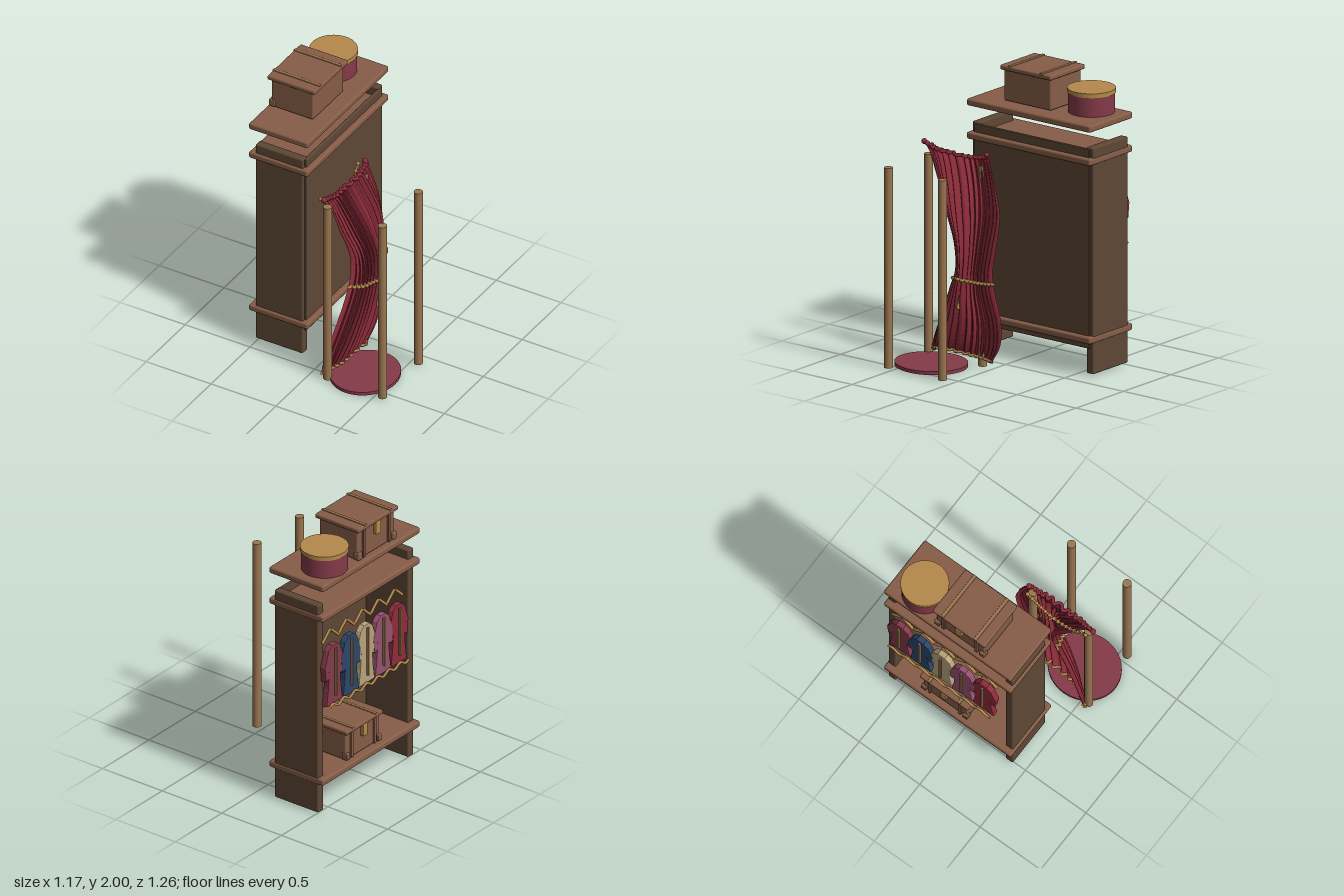
import * as THREE from 'three';
import { RoundedBoxGeometry } from 'three/addons/geometries/RoundedBoxGeometry.js';

const mat = (name, color) => {
  const m = new THREE.MeshStandardMaterial({ color });
  m.name = name;
  return m;
};

export function createModel() {
  const root = new THREE.Group();
  root.name = 'wardrobeAndCurtain';
  const M = {
    wood: mat('wood', 0x865d47),
    dark: mat('darkWood', 0x5e4735),
    pole: mat('poleWood', 0x9b7751),
    gold: mat('gold', 0xb4894c),
    red: mat('curtainRed', 0x8e2c3a),
    plum: mat('plum', 0x843a48),
    navy: mat('navy', 0x2c4668),
    cream: mat('cream', 0xb8a47c),
    pink: mat('pink', 0x96506e),
  };
  M.red.side = THREE.DoubleSide;

  const add = (parent, name, geo, material, x = 0, y = 0, z = 0) => {
    const mesh = new THREE.Mesh(geo, material);
    mesh.name = name;
    mesh.position.set(x, y, z);
    parent.add(mesh);
    return mesh;
  };
  const group = (name, parent = root) => {
    const g = new THREE.Group();
    g.name = name;
    parent.add(g);
    return g;
  };
  // Rounded board given by its min and max on each axis
  const board = (parent, name, material, [x0, x1], [y0, y1], [z0, z1], r = 0.01) =>
    add(parent, name, new RoundedBoxGeometry(x1 - x0, y1 - y0, z1 - z0, 2, r), material,
      (x0 + x1) / 2, (y0 + y1) / 2, (z0 + z1) / 2);
  const tube = (parent, name, pts, r, material, n = 60) =>
    add(parent, name, new THREE.TubeGeometry(new THREE.CatmullRomCurve3(pts), n, r, 6), material);
  const V = (x, y, z) => new THREE.Vector3(x, y, z);

  // Wardrobe frame, open towards -x
  const frame = group('wardrobe');
  for (const [z0, z1] of [[0.345, 0.405], [-0.625, -0.565]])
    board(frame, 'endPanel', M.dark, [-0.515, -0.15], [0.015, 1.575], [z0, z1]);
  board(frame, 'backPanel', M.dark, [-0.162, -0.138], [0.19, 1.565], [-0.6, 0.38], 0.005);
  for (const y of [0.23, 1.46, 1.69])
    board(frame, 'shelf', M.wood, [-0.56, -0.105], [y, y + 0.048], [-0.63, 0.42], 0.014);

  // Storage box with lid, straps, corner blocks and clasp
  const chest = (x, y, z, s) => {
    const g = group('storageBox');
    board(g, 'boxBody', M.wood, [-0.16, 0.16], [0.01, 0.23], [-0.198, 0.198]);
    board(g, 'boxLid', M.wood, [-0.183, 0.183], [0.225, 0.258], [-0.216, 0.216]);
    for (const side of [-1, 1]) {
      board(g, 'lidStrap', M.pole, [-0.184, 0.184], [0.25, 0.264], [side * 0.135 - 0.012, side * 0.135 + 0.012], 0.004);
      board(g, 'sideStrap', M.wood, [-0.175, -0.155], [0.015, 0.23], [side * 0.135 - 0.012, side * 0.135 + 0.012], 0.004);
      board(g, 'cornerBlock', M.wood, [-0.178, -0.13], [0.015, 0.065], [side * 0.185 - 0.022, side * 0.185 + 0.022], 0.006);
    }
    board(g, 'clasp', M.gold, [-0.19, -0.158], [0.14, 0.232], [-0.025, 0.025], 0.006);
    g.position.set(x, y, z);
    g.scale.setScalar(s);
  };
  chest(-0.366, 1.736, -0.018, 1);
  chest(-0.37, 0.277, -0.15, 0.92);

  // Round hat box
  const hat = group('hatBox');
  add(hat, 'hatBoxBody', new THREE.CylinderGeometry(0.156, 0.156, 0.14, 48), M.plum, -0.4, 1.805, -0.408);
  add(hat, 'hatBoxLid', new THREE.CylinderGeometry(0.162, 0.162, 0.03, 48), M.gold, -0.4, 1.887, -0.408);

  // Row of hanging garments with hangers and plackets
  const clothes = group('clothes');
  const half = [[0.025, 0.44], [0.06, 0.41], [0.098, 0.30], [0.09, 0.2], [0.066, 0.21], [0.06, 0.27], [0.062, 0.13], [0.08, 0.01]];
  const outline = [...half, ...half.map(([a, b]) => [-a, b]).reverse()].map(([a, b]) => new THREE.Vector2(a, b));
  const garmentGeo = new THREE.ExtrudeGeometry(new THREE.Shape(outline),
    { depth: 0.03, bevelSize: 0.006, bevelThickness: 0.007, bevelSegments: 2 });
  [M.plum, M.navy, M.cream, M.pink, M.red].forEach((m, i) => {
    const z = -0.5 + i * 0.173;
    const garment = add(clothes, 'garment', garmentGeo, m, -0.522 - (i % 2) * 0.003, 0.805, z);
    garment.rotation.y = -Math.PI / 2;
    board(clothes, 'placket', M.pole, [-0.578, -0.56], [0.87, 1.23], [z - 0.008, z + 0.008], 0.004);
    for (const s of [-1, 1])
      tube(clothes, 'hangerArm', [V(-0.52, 1.275, z + s * 0.086), V(-0.52, 1.355, z)], 0.011, M.gold, 2);
  });
  // Wavy cord along the hems
  const cord = [];
  for (let i = 0; i <= 40; i++) cord.push(V(-0.577, 0.81 + 0.014 * Math.sin(i * 1.1), -0.575 + i * 0.0212));
  tube(clothes, 'hemCord', cord, 0.01, M.gold, 120);

  // Four poles and the round floor mat
  for (const x of [0.13, 0.553])
    for (const z of [0.09, 0.55])
      add(root, 'pole', new THREE.CylinderGeometry(0.03, 0.03, 1.38, 24), M.pole, x, 0.7, z);
  add(root, 'floorMat', new THREE.CylinderGeometry(1, 1, 0.024, 64), M.plum, 0.316, 0.016, 0.377).scale.set(0.231, 1, 0.253);

  // Curtain: pleated U-shaped section, gathered at the waist
  const curtain = group('curtain');
  const rows = [ // y, zMax, zMin, base x, bulge depth
    [0.03, 0.54, 0.06, 0.08, 0.07], [0.15, 0.49, -0.01, 0.085, 0.12], [0.33, 0.4, -0.035, 0.11, 0.135],
    [0.55, 0.29, 0.01, 0.13, 0.14], [0.66, 0.245, 0.025, 0.13, 0.14], [0.84, 0.26, -0.005, 0.13, 0.135],
    [1.08, 0.375, -0.04, 0.13, 0.1], [1.28, 0.46, 0, 0.13, 0.05], [1.42, 0.53, 0.045, 0.125, 0.025],
    [1.47, 0.58, 0.055, 0.12, 0.02],
  ];
  const spline = new THREE.CubicInterpolant(rows.map(r => r[0]), rows.flatMap(r => r.slice(1)), 4, new Float32Array(4));
  const bend = a => Math.sign(a) * Math.pow(Math.abs(a), 0.78);
  const cloth = (u, y, off = 0) => {
    const [zMax, zMin, bx, d] = spline.evaluate(y);
    const t = (0.5 - u) * Math.PI;
    const c = Math.max(0, Math.cos(t)), s = Math.sin(t);
    const fold = 0.015 * Math.cos(u * Math.PI * 32) + 0.004 * Math.sin(u * 23 + y * 5) + off;
    return V(bx + d * bend(c) + fold * c, y, (zMax + zMin) / 2 + (zMax - zMin) / 2 * bend(s) + fold * s);
  };
  const hem = u => 0.03 + 0.06 * Math.sin(Math.PI * u);
  const head = u => 1.465 - 0.03 * Math.sin(Math.PI * u);
  const sheet = new THREE.PlaneGeometry(1, 1, 224, 48);
  const pos = sheet.attributes.position;
  for (let i = 0; i < pos.count; i++) {
    const u = pos.getX(i) + 0.5, v = pos.getY(i) + 0.5;
    const p = cloth(u, hem(u) + (head(u) - hem(u)) * v);
    pos.setXYZ(i, p.x, p.y, p.z);
  }
  sheet.computeVertexNormals();
  add(curtain, 'curtainCloth', sheet, M.red);

  // Rolled head, gold hem trim and tie band follow the cloth
  const along = (f, off) => Array.from({ length: 161 }, (_, i) => cloth(i / 160, f(i / 160), off));
  tube(curtain, 'curtainHead', along(head, 0), 0.012, M.red, 220);
  tube(curtain, 'hemTrim', along(hem, 0.002), 0.011, M.gold, 220);
  tube(curtain, 'tieBand', along(u => 0.585 + 0.04 * Math.sin(Math.PI * u), 0.006), 0.011, M.gold, 220);
  for (const z of [0.59, 0.06])
    add(curtain, 'headKnot', new THREE.SphereGeometry(0.02, 12, 8), M.red, 0.125, 1.465, z);

  // Tassel below the band and beaded swag behind the head
  add(curtain, 'tassel', new THREE.ConeGeometry(0.012, 0.09, 10), M.gold, 0.29, 0.47, 0.17);
  const swag = k => V(0.082 + 0.016 * Math.sin(Math.PI * k), 1.44 - 0.17 * Math.sin(Math.PI * k), 0.56 - 0.48 * k);
  tube(curtain, 'swagCord', Array.from({ length: 13 }, (_, i) => swag(i / 12)), 0.008, M.gold);
  for (let i = 0; i <= 14; i++) {
    const p = swag(i / 14);
    add(curtain, 'swagBead', new THREE.SphereGeometry(0.014, 10, 8), M.gold, p.x, p.y, p.z);
  }
  return root;
}
